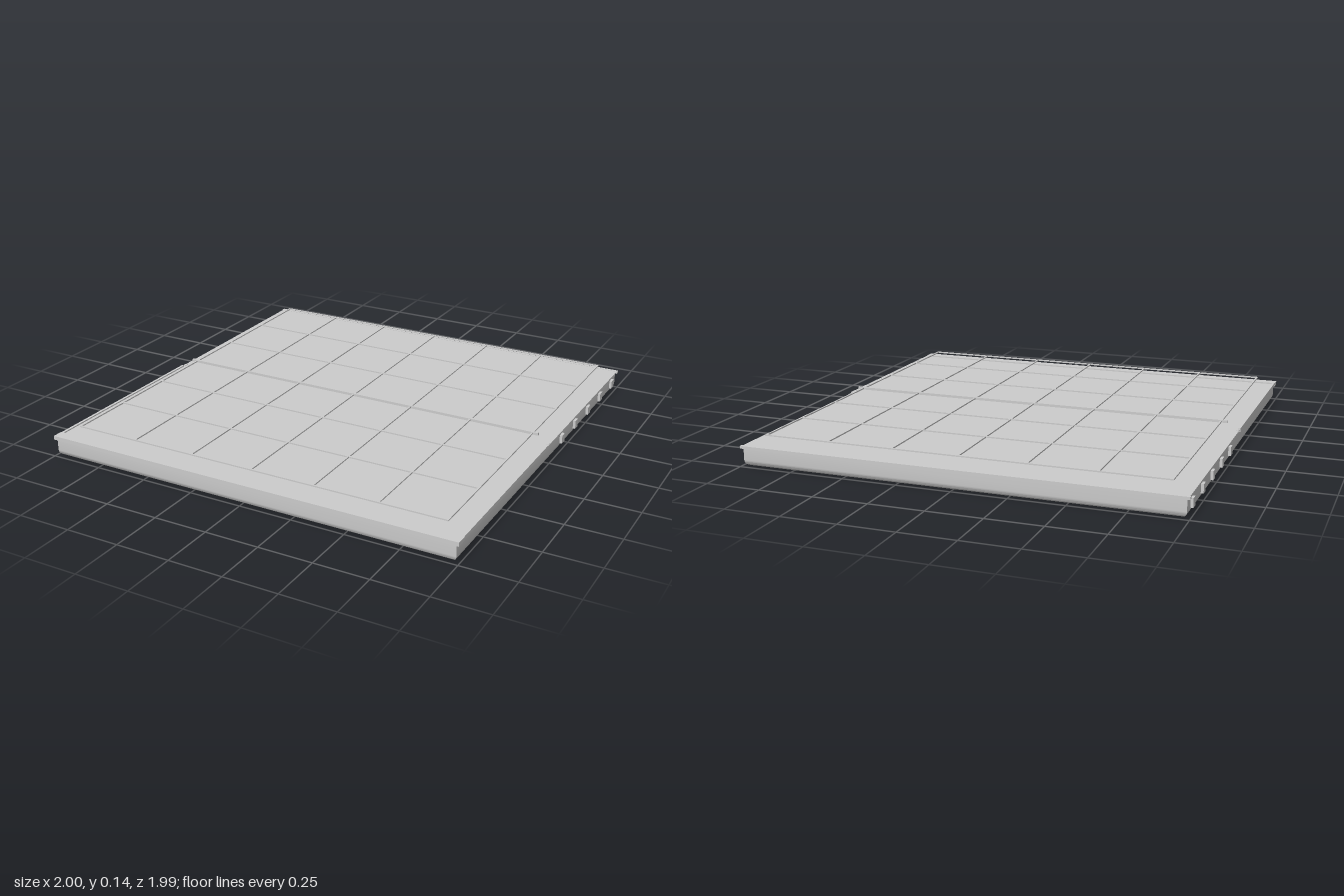
import * as THREE from 'three';
import { toCreasedNormals } from 'three/addons/utils/BufferGeometryUtils.js';

const material = new THREE.MeshStandardMaterial({ color: 0xcccccc });
const sheetMaterial = new THREE.MeshStandardMaterial({ color: 0xcccccc, side: THREE.DoubleSide });

function add(parent, name, geometry, x = 0, y = 0, z = 0) {
  const mesh = new THREE.Mesh(geometry, material);
  mesh.name = name;
  mesh.position.set(x, y, z);
  parent.add(mesh);
  return mesh;
}

const box = (parent, name, w, h, d, x, y, z) =>
  add(parent, name, new THREE.BoxGeometry(w, h, d), x, y, z);

// Square pan: thin wall section swept round four sides, with filleted floor edges
function panGeometry() {
  const section = [[0, 0]];
  const fillet = (cx, cy, r, from, to) => {
    for (let i = 0; i <= 5; i++) {
      const a = from + (to - from) * i / 5;
      section.push([cx + r * Math.cos(a), cy + r * Math.sin(a)]);
    }
  };
  fillet(0.959, 0.028, 0.028, -Math.PI / 2, 0);
  section.push([0.987, 0.09], [0.982, 0.09]);
  fillet(0.959, 0.028, 0.023, 0, -Math.PI / 2);
  section.push([0, 0.005]);
  const points = section.map(([x, y]) => new THREE.Vector2(x * Math.SQRT2, y));
  return toCreasedNormals(new THREE.LatheGeometry(points, 4, Math.PI / 4), 0.6);
}

export function createModel() {
  const model = new THREE.Group();
  model.name = 'trayWithGrid';
  add(model, 'pan', panGeometry());

  // Flat sheet closing the pan
  const sheet = add(model, 'topSheet', new THREE.PlaneGeometry(1.992, 1.97), 0, 0.0915, 0);
  sheet.material = sheetMaterial;
  sheet.rotation.x = -Math.PI / 2;

  // Rims: wide flange at the front, narrow along the front half of the sides and at the back
  const rim = new THREE.Group();
  rim.name = 'rim';
  model.add(rim);
  box(rim, 'frontRim', 2, 0.018, 0.05, 0, 0.089, 0.97);
  box(rim, 'backRim', 2, 0.012, 0.016, 0, 0.087, -0.987);

  for (const side of [-1, 1]) {
    box(rim, 'sideRim', 0.012, 0.016, 0.93, side * 0.992, 0.089, 0.48);
    box(rim, 'sidePin', 0.012, 0.008, 0.02, side * 0.989, 0.09, -0.005);

    // Square tabs along the back half of each side
    for (let i = 0; i < 5; i++) {
      box(model, 'sideTab', 0.014, 0.04, 0.034, side * 0.992, 0.048, -0.183 - i * 0.183);
    }
  }

  // Raised grid of thin bars, six cells each way
  const grid = new THREE.Group();
  grid.name = 'grid';
  grid.position.set(0, 0.13, -0.005);
  model.add(grid);
  const half = 0.912;
  const length = 2 * half + 0.008;
  for (let i = 0; i <= 6; i++) {
    const p = -half + i * half / 3;
    box(grid, 'longBar', 0.008, 0.006, length, p, 0, 0);
    box(grid, 'crossBar', length, 0.006, 0.008, 0, 0, p);
  }

  // Centre rod running past both edges of the grid
  box(grid, 'centreRod', 1.88, 0.012, 0.012, 0, 0, 0);

  return model;
}
